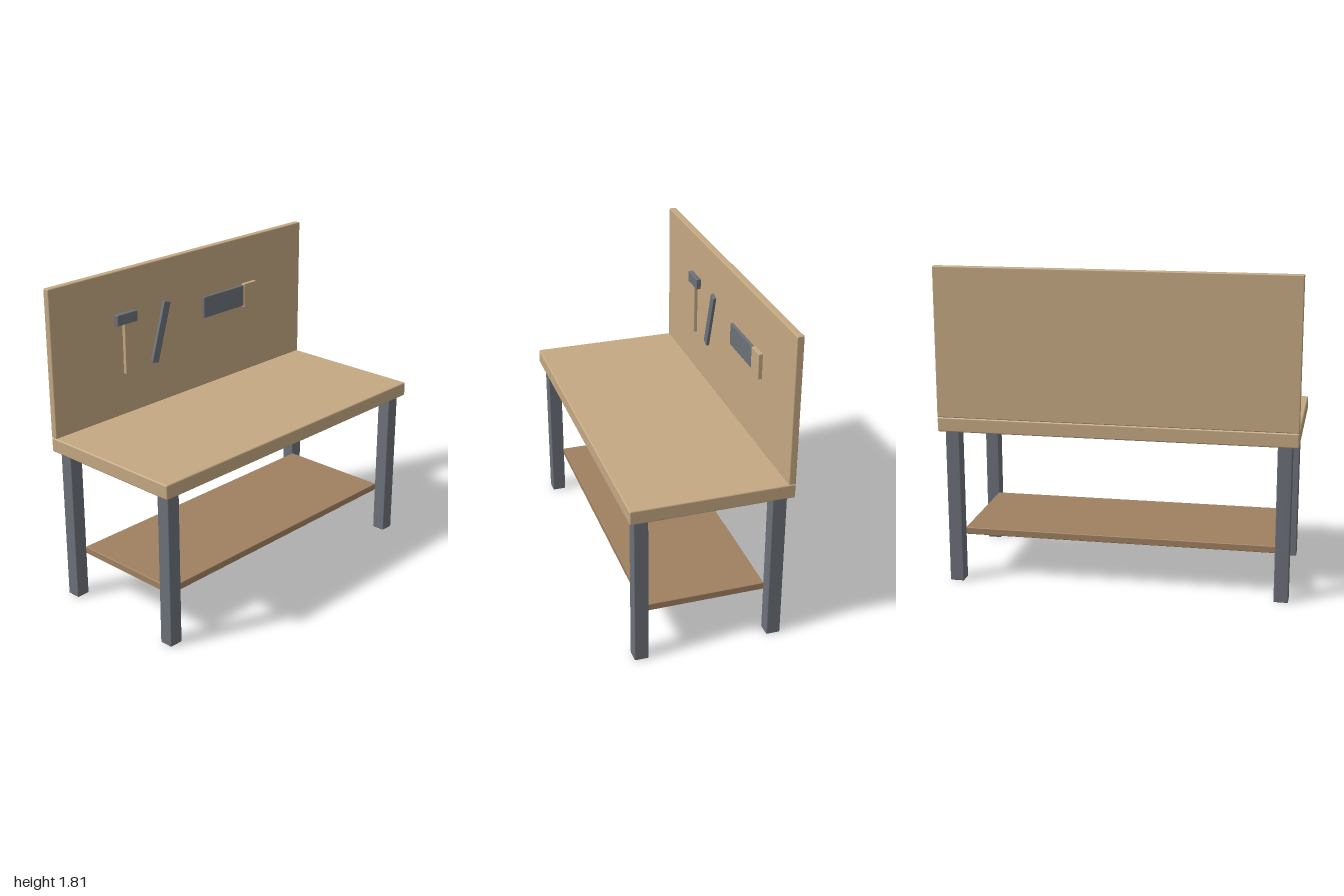
import * as THREE from 'three';
import { RoundedBoxGeometry } from 'three/addons/geometries/RoundedBoxGeometry.js';

export function createModel() {
  const group = new THREE.Group();
  const material = (name, color) => {
    const m = new THREE.MeshStandardMaterial({ color });
    m.name = name;
    return m;
  };
  const wood = material('lightWood', 0xc4a882);
  const shelfWood = material('brownWood', 0xa08060);
  const metal = material('greyMetal', 0x6b7078);

  // Softly bevelled block given by its lower and upper limits on each axis
  function block(name, mat, [x0, x1], [y0, y1], [z0, z1], bevel = 0.006) {
    const geo = new RoundedBoxGeometry(x1 - x0, y1 - y0, z1 - z0, 2, bevel);
    const mesh = new THREE.Mesh(geo, mat);
    mesh.name = name;
    mesh.position.set((x0 + x1) / 2, (y0 + y1) / 2, (z0 + z1) / 2);
    group.add(mesh);
    return mesh;
  }

  // Bench top, back panel and lower shelf
  block('benchTop', wood, [-1, 1], [0.888, 0.97], [-0.45, 0.45], 0.008);
  block('backPanel', wood, [-1, 1], [0.97, 1.812], [-0.45, -0.41]);
  block('lowerShelf', shelfWood, [-0.89, 0.89], [0.257, 0.297], [-0.342, 0.342], 0.004);

  // Four square legs
  for (const x of [-0.925, 0.925])
    for (const z of [-0.38, 0.38])
      block('leg', metal, [x - 0.04, x + 0.04], [0, 0.888], [z - 0.04, z + 0.04]);

  // Hammer
  block('hammerHead', metal, [-0.552, -0.404], [1.509, 1.571], [-0.415, -0.383], 0.004);
  block('hammerHandle', wood, [-0.496, -0.458], [1.213, 1.512], [-0.413, -0.389], 0.004);

  // Leaning chisel
  const chisel = block('chisel', metal, [-0.239, -0.189], [1.215, 1.571], [-0.415, -0.393], 0.004);
  chisel.rotation.z = -0.3;

  // Saw
  block('sawBlade', metal, [0.134, 0.475], [1.394, 1.521], [-0.413, -0.394], 0.004);
  block('sawHandle', wood, [0.471, 0.578], [1.383, 1.53], [-0.416, -0.387], 0.004);

  return group;
}
